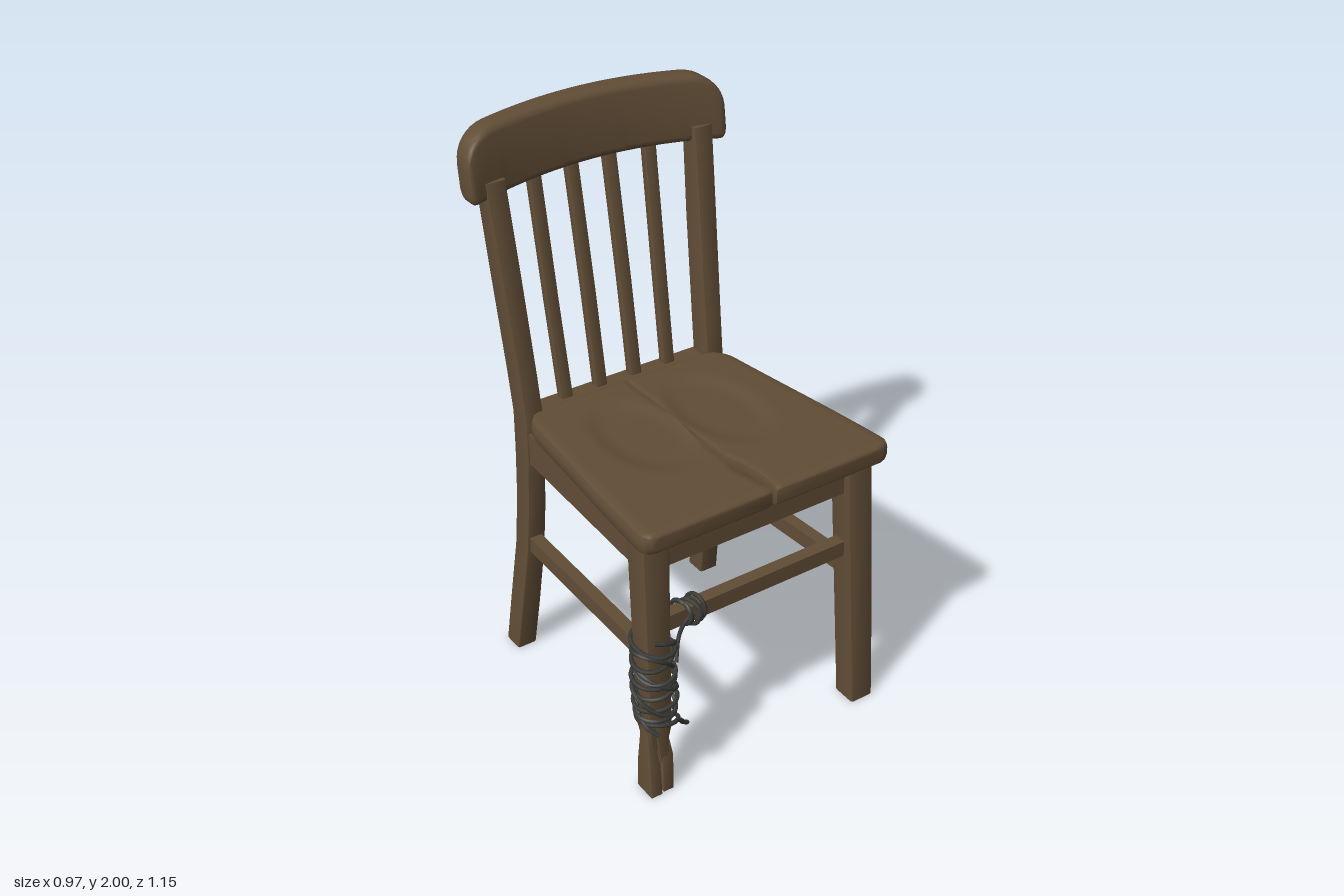
import * as THREE from 'three';
import { toCreasedNormals } from 'three/addons/utils/BufferGeometryUtils.js';

const wood = new THREE.MeshStandardMaterial({ color: 0x614d36 });
wood.name = 'brown wood';
const wire = new THREE.MeshStandardMaterial({ color: 0x3a3b38 });
wire.name = 'dark wire';

// Skin a list of equal-length loops of points, closing both ends
function loft(loops, crease = 0.6) {
  const n = loops[0].length, pos = [], idx = [];
  loops.forEach(l => l.forEach(p => pos.push(...p)));
  for (let s = 0; s < loops.length - 1; s++) {
    for (let i = 0; i < n; i++) {
      const a = s * n + i, b = s * n + (i + 1) % n;
      idx.push(a, b, b + n, a, b + n, a + n);
    }
  }
  [0, loops.length - 1].forEach((s, end) => {
    const c = pos.length / 3;
    for (let k = 0; k < 3; k++) pos.push(loops[s].reduce((t, p) => t + p[k], 0) / n);
    for (let i = 0; i < n; i++) {
      const a = s * n + i, b = s * n + (i + 1) % n;
      end ? idx.push(c, a, b) : idx.push(c, b, a);
    }
  });
  const g = new THREE.BufferGeometry();
  g.setAttribute('position', new THREE.Float32BufferAttribute(pos, 3));
  g.setIndex(idx);
  return toCreasedNormals(g, crease);
}

// Counter-clockwise rectangle with rounded corners, as [u, v] pairs
function roundRect(cu, cv, w, h, r, steps = 2) {
  const out = [];
  [[1, 1], [-1, 1], [-1, -1], [1, -1]].forEach(([su, sv], q) => {
    for (let i = 0; i <= steps; i++) {
      const a = (q + i / steps) * Math.PI / 2;
      out.push([cu + su * (w / 2 - r) + r * Math.cos(a), cv + sv * (h / 2 - r) + r * Math.sin(a)]);
    }
  });
  return out;
}

// Upright post; each section is [y, centreX, centreZ, width, depth]
const post = (sections, side = 1, r = 0.008) => loft(sections.map(([y, x, z, w, d]) =>
  roundRect(z, x * side, d, w, Math.min(r, w / 3, d / 3)).map(([u, v]) => [v, y, u])));

const smoothstep = THREE.MathUtils.smoothstep;
const lerp = THREE.MathUtils.lerp;

// Piecewise linear lookup in [z, x] pairs
function lookup(pts, z) {
  for (let i = 1; i < pts.length; i++) {
    if (z <= pts[i][0]) {
      const [a, b] = [pts[i - 1], pts[i]];
      return lerp(a[1], b[1], smoothstep(z, a[0], b[0]));
    }
  }
  return pts[pts.length - 1][1];
}

// Fraction of a quarter-round reached at distance d from an edge
const round = (d, r) => d >= r ? 1 : Math.sqrt(Math.max(0, 1 - (1 - d / r) ** 2));

// Half of the cracked, dished seat
function seatHalf(side, crack) {
  const Z0 = -0.295, Z1 = 0.56, N = 48, loops = [];
  for (let s = 0; s <= N; s++) {
    const z = lerp(Z0, Z1, (1 - Math.cos(Math.PI * s / N)) / 2);
    const back = z - Z0, front = Z1 - z;
    const outer = lerp(0.397, 0.475, smoothstep(z, -0.6, 0.75) * 1.25 - 0.11)
      - 0.07 * (1 - round(back, 0.09)) - 0.045 * (1 - round(front, 0.05));
    const inner = lookup(crack, z);
    const k = 0.6 + 0.4 * Math.min(round(back, 0.02), round(front, 0.03));
    const mid = 0.983 + (z - Z0) * 0.036, h = 0.0375 * k;
    const [x0, x1] = side > 0 ? [inner, outer] : [-outer, inner];
    const [r0, r1] = side > 0 ? [0.006, 0.022] : [0.022, 0.006];
    const loop = [[x0 + r0, mid - h, z], [x1 - r1, mid - h, z], [x1 - r1 * 0.3, mid - h + r1 * 0.3, z],
      [x1, mid - h + r1, z], [x1, mid + h - r1, z], [x1 - r1 * 0.3, mid + h - r1 * 0.3, z]];
    for (let i = 0; i <= 20; i++) {
      const x = lerp(x1 - r1, x0 + r0, i / 20);
      const e = ((x - side * 0.15) / 0.16) ** 2 + ((z - 0.05) / 0.28) ** 2;
      loop.push([x, mid + h - 0.014 * (1 - smoothstep(e, 0.3, 1)), z]);
    }
    loop.push([x0 + r0 * 0.3, mid + h - r0 * 0.3, z], [x0, mid + h - r0, z],
      [x0, mid - h + r0, z], [x0 + r0 * 0.3, mid - h + r0 * 0.3, z]);
    loops.push(loop);
  }
  return loft(loops);
}

// Bowed, leaning crest rail with rounded shoulders
function crestRail() {
  const loops = [], X = 0.487, N = 40;
  for (let s = 0; s <= N; s++) {
    const x = -X * Math.cos(Math.PI * s / N), q = (x / X) ** 2, d = X - Math.abs(x);
    const bottom = 1.777 - 0.022 * q + 0.03 * (1 - round(d, 0.02));
    const top = 2.0 - 0.022 * q - 0.1 * (1 - round(d, 0.11));
    const depth = 0.092 - 0.03 * (1 - round(d, 0.025));
    const z = -0.425 - 0.063 * (1 - q);
    loops.push(roundRect((top + bottom) / 2, z, top - bottom, depth, 0.024, 4)
      .map(([y, w]) => [x, y, w - (y - 1.76) * 0.14]));
  }
  return loft(loops);
}

export function createModel() {
  const model = new THREE.Group();
  model.name = 'brokenChair';
  const add = (name, geometry, material = wood) => {
    const m = new THREE.Mesh(geometry, material);
    m.name = name;
    model.add(m);
    return m;
  };
  // Straight rail between two points
  const rail = (name, a, b, w, h) => {
    const p = new THREE.Vector3(...a), q = new THREE.Vector3(...b);
    const m = add(name, new THREE.BoxGeometry(w, h, p.distanceTo(q)));
    m.position.copy(p).lerp(q, 0.5);
    m.lookAt(q);
  };
  // Wire running through points
  const strand = (name, pts, r = 0.0075) => add(name, new THREE.TubeGeometry(
    new THREE.CatmullRomCurve3(pts.map(p => new THREE.Vector3(...p))), pts.length * 3, r, 6), wire);

  // Seat halves either side of the crack
  add('leftSeatHalf', seatHalf(1, [[-0.3, 0.002], [0.02, 0.001], [0.2, -0.009], [0.3, -0.009],
    [0.4, 0.013], [0.48, 0.018], [0.56, 0.012]]));
  add('rightSeatHalf', seatHalf(-1, [[-0.3, -0.002], [0, -0.002], [0.2, -0.022], [0.3, -0.021],
    [0.4, -0.037], [0.48, -0.02], [0.56, -0.006]]));

  // Back posts running down into the rear legs
  for (const side of [1, -1]) {
    const label = side > 0 ? 'left' : 'right';
    add(label + 'BackPost', post([
      [0, 0.405, -0.388, 0.075, 0.083], [0.2, 0.395, -0.36, 0.075, 0.086],
      [0.45, 0.382, -0.328, 0.072, 0.085], [0.65, 0.374, -0.317, 0.07, 0.086],
      [0.85, 0.37, -0.315, 0.068, 0.09], [1.0, 0.368, -0.317, 0.068, 0.092],
      [1.15, 0.372, -0.338, 0.068, 0.092], [1.5, 0.384, -0.39, 0.07, 0.09],
      [1.82, 0.396, -0.436, 0.072, 0.08]], side));
    rail(label + 'Apron', [side * 0.412, 0.917, 0.44], [side * 0.372, 0.89, -0.3], 0.045, 0.118);
    rail(label + 'Stretcher', [side * 0.408, 0.522, 0.48], [side * 0.382, 0.489, -0.32], 0.045, 0.058);
    // Back spindles
    for (const [x0, x1, z1] of [[0.207, 0.222, -0.478], [0.07, 0.073, -0.492]]) {
      add(label + 'Spindle', post([[0.95, x0, -0.333, 0.046, 0.036],
        [1.35, (x0 + x1) / 2, -0.402, 0.046, 0.036], [1.82, x1, z1, 0.046, 0.036]], side));
    }
  }
  add('crestRail', crestRail());

  // Cross rails
  rail('frontApron', [-0.37, 0.912, 0.455], [0.37, 0.912, 0.455], 0.05, 0.122);
  rail('rearApron', [-0.36, 0.917, -0.335], [0.36, 0.917, -0.335], 0.07, 0.17);
  rail('frontStretcher', [-0.39, 0.63, 0.468], [0.39, 0.63, 0.468], 0.045, 0.058);

  // Sound front leg
  add('leftFrontLeg', post([[0, 0.42, 0.52, 0.09, 0.092], [0.3, 0.415, 0.498, 0.094, 0.094],
    [0.98, 0.397, 0.452, 0.098, 0.098]]));

  // Broken front leg: upper part, then splinters crossing the break
  add('rightFrontLeg', post([[0.17, 0.412, 0.507, 0.06, 0.06], [0.26, 0.412, 0.502, 0.086, 0.086],
    [0.62, 0.404, 0.476, 0.09, 0.094], [0.98, 0.397, 0.452, 0.098, 0.098]], -1));
  const splinters = [
    [[0, 0.443, 0.522, 0.043, 0.085], [0.12, 0.441, 0.515, 0.04, 0.075], [0.3, 0.446, 0.5, 0.008, 0.03]],
    [[0, 0.394, 0.525, 0.04, 0.07], [0.14, 0.392, 0.517, 0.042, 0.072], [0.24, 0.385, 0.51, 0.012, 0.03]],
    [[0.05, 0.42, 0.486, 0.01, 0.012], [0.18, 0.416, 0.487, 0.05, 0.034], [0.3, 0.412, 0.492, 0.06, 0.05]],
    [[0.07, 0.402, 0.549, 0.006, 0.006], [0.17, 0.405, 0.541, 0.035, 0.02], [0.28, 0.408, 0.525, 0.05, 0.04]],
  ];
  splinters.forEach(s => add('legSplinter', post(s, -1, 0.003)));

  // Uneven wire wound round the broken leg
  const legWire = (turns, y0, y1, phase, wobble) => {
    const pts = [];
    for (let i = 0; i <= turns * 12; i++) {
      const t = i / (turns * 12), a = phase + i * Math.PI / 6;
      const y = lerp(y0, y1, t) + wobble * Math.sin(a + 3 * t) + 0.012 * Math.sin(i * 0.37);
      const r = 0.067 + 0.006 * Math.sin(i * 0.83 + phase);
      pts.push([-0.408 + r * Math.cos(a), y, 0.512 - 0.062 * (y - 0.2) + r * Math.sin(a)]);
    }
    return pts;
  };
  strand('legWire', legWire(8, 0.27, 0.6, 0, 0.012));
  strand('crossingLegWire', legWire(4, 0.3, 0.6, 2, -0.035));
  strand('wireTail', [[-0.37, 0.3, 0.57], [-0.345, 0.28, 0.56], [-0.33, 0.25, 0.54], [-0.3, 0.225, 0.53]]);
  strand('linkingWire', [[-0.345, 0.5, 0.53], [-0.315, 0.57, 0.5], [-0.29, 0.62, 0.5], [-0.26, 0.64, 0.5]]);

  // Wire knot on the front stretcher
  const knot = [];
  for (let i = 0; i <= 60; i++) {
    const a = i * Math.PI / 6, r = 0.041 + 0.006 * Math.sin(i * 0.71);
    knot.push([-0.255 + 0.032 * Math.sin(i * 0.11) + 0.008 * Math.sin(a), 0.63 + r * Math.cos(a), 0.468 + r * Math.sin(a)]);
  }
  strand('stretcherWire', knot);
  return model;
}
